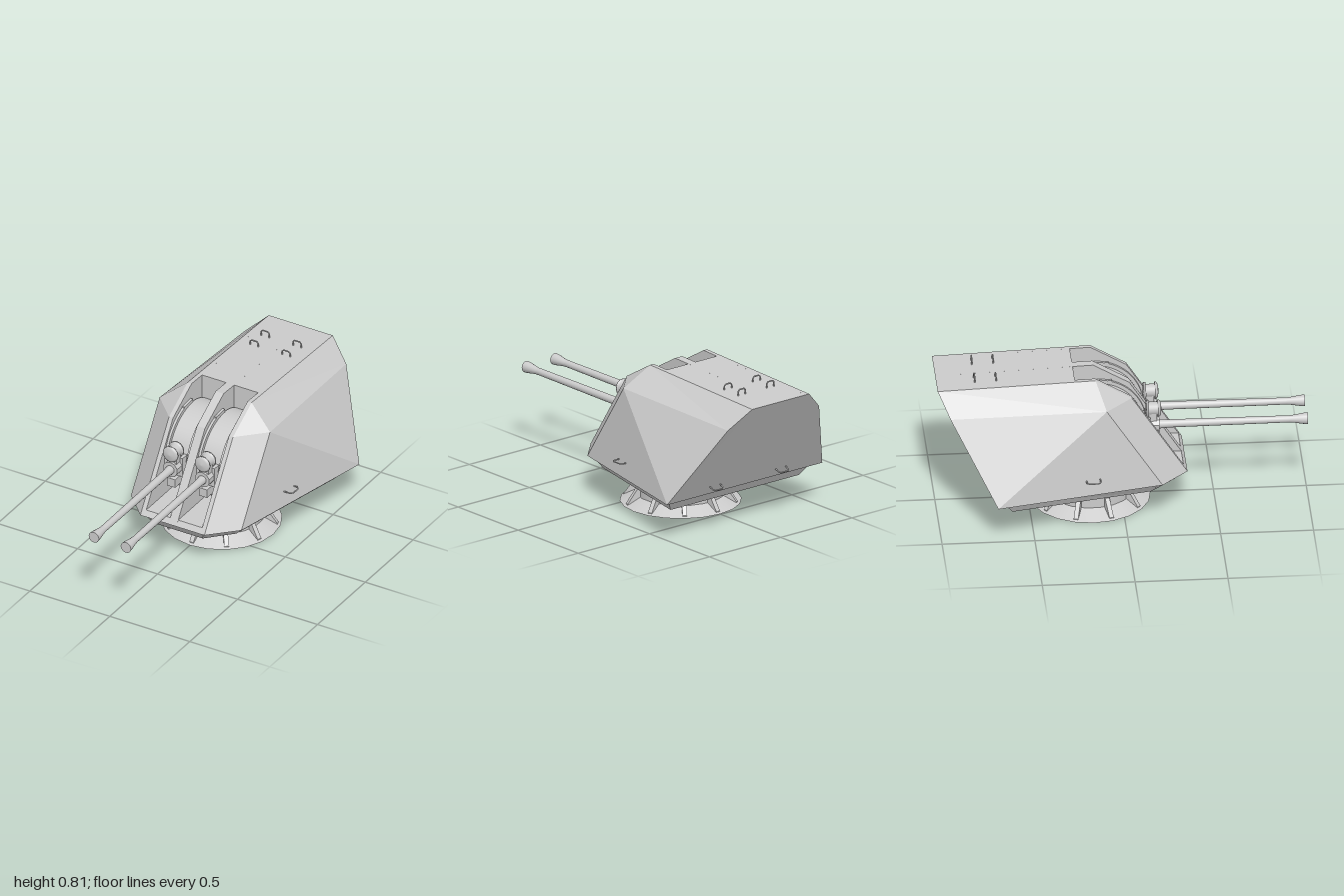
import * as THREE from 'three';

const mat = new THREE.MeshStandardMaterial({ color: 0xcccccc, side: THREE.DoubleSide });
const flatMat = new THREE.MeshStandardMaterial({ color: 0xcccccc, side: THREE.DoubleSide, flatShading: true });
const V = (x, y, z) => new THREE.Vector3(x, y, z);

function add(parent, name, geo, x = 0, y = 0, z = 0, material = mat) {
  const m = new THREE.Mesh(geo, material);
  m.name = name;
  m.position.set(x, y, z);
  parent.add(m);
  return m;
}

// Flat-faced geometry from convex polygons of Vector3
function faces(polys) {
  const pts = [];
  for (const p of polys)
    for (let i = 1; i < p.length - 1; i++) pts.push(p[0], p[i], p[i + 1]);
  const g = new THREE.BufferGeometry().setFromPoints(pts);
  g.computeVertexNormals();
  return g;
}

// Shape from (z, y) points
const outline = (points) => new THREE.Shape(points.map(([z, y]) => new THREE.Vector2(z, y)));

// Side-on shape in (z, y), extruded across x from x0 to x1
function slab(shape, x0, x1) {
  const g = new THREE.ExtrudeGeometry(shape, { depth: x1 - x0, bevelEnabled: false, curveSegments: 24 });
  return g.rotateY(-Math.PI / 2).translate(x1, 0, 0);
}

// Turned part along +z from (radius, z) points
function turned(profile, segments) {
  const pts = profile.map(([r, z]) => new THREE.Vector2(r, z));
  return new THREE.LatheGeometry(pts, segments).rotateX(Math.PI / 2);
}

// Small U-shaped grab handle
function handle(parent, pos, along, out, w = 0.05, h = 0.03) {
  const path = new THREE.CurvePath();
  const p = [V(-w / 2, -0.01, 0), V(-w / 2, h * 0.7, 0), V(-w / 2 + h * 0.3, h, 0),
    V(w / 2 - h * 0.3, h, 0), V(w / 2, h * 0.7, 0), V(w / 2, -0.01, 0)];
  for (let i = 0; i < 5; i++) path.add(new THREE.LineCurve3(p[i], p[i + 1]));
  const m = add(parent, 'grabHandle', new THREE.TubeGeometry(path, 30, 0.004, 6), ...pos.toArray());
  m.quaternion.setFromRotationMatrix(new THREE.Matrix4().makeBasis(along, out, along.clone().cross(out)));
}

function buildShield(root) {
  const shield = new THREE.Group();
  shield.name = 'shield';
  root.add(shield);

  // Faceted armour on both flanks
  for (const s of [1, -1]) {
    const P = (x, y, z) => V(s * x, y, z);
    const roof = P(0.2, 0.8, -0.15), brow = P(0.2, 0.686, 0.045), cheek = P(0.345, 0.686, -0.1);
    const toe = P(0.2, 0.225, 0.345), cheekLow = P(0.345, 0.225, 0.2), rearLow = P(0.545, 0.225, -0.7);
    const rearMid = P(0.32, 0.66, -0.94), rearTop = P(0.2, 0.77, -1), rearIn = P(0.2, 0.225, -0.7);
    const polys = [
      [brow, toe, cheekLow, cheek], [roof, brow, cheek], [cheek, cheekLow, rearLow],
      [cheek, rearLow, rearMid], [roof, cheek, rearMid, rearTop],
      [rearTop, rearMid, rearLow, rearIn], [toe, rearIn, rearLow, cheekLow],
    ];
    if (s < 0) polys.forEach((p) => p.reverse());
    add(shield, 'flankArmour', faces(polys), 0, 0, 0, flatMat);
  }

  // Centre section: full-height ribs with a gun slot on each side
  const full = outline([[0.345, 0.225], [-0.7, 0.225], [-1, 0.77], [-0.15, 0.8], [0.045, 0.686]]);
  const cut = outline([[0.345, 0.225], [-0.7, 0.225], [-1, 0.77], [-0.26, 0.796], [-0.26, 0.255], [0.325, 0.255]]);
  for (const [a, b] of [[-0.2, -0.175], [-0.025, 0.025], [0.175, 0.2]])
    add(shield, 'centreRib', slab(full, a, b));
  for (const [a, b] of [[-0.175, -0.025], [0.025, 0.175]])
    add(shield, 'gunSlot', slab(cut, a, b));

  // Tapered skirt beneath
  const ring = (half, y) => [...half.map(([x, z]) => V(x, y, z)), ...half.map(([x, z]) => V(-x, y, z)).reverse()];
  const top = ring([[0.185, 0.33], [0.32, 0.19], [0.5, -0.66]], 0.225);
  const low = ring([[0.15, 0.28], [0.28, 0.145], [0.45, -0.617]], 0.155);
  const walls = top.map((t, i) => [t, low[i], low[(i + 1) % 6], top[(i + 1) % 6]]);
  add(shield, 'skirt', faces([...walls, [...low].reverse()]), 0, 0, 0, flatMat);

  // Grab handles on roof, flanks and rear
  for (const s of [1, -1]) {
    for (const z of [-0.68, -0.795]) handle(shield, V(s * 0.1, 0.781, z), V(1, 0, 0), V(0, 1, 0));
    handle(shield, V(s * 0.417, 0.31, -0.178), V(0, 0, 1), V(s, 0, 0), 0.075, 0.042);
    handle(shield, V(s * 0.23, 0.275, -0.727), V(1, 0, 0), V(0, -0.48, -0.877), 0.07, 0.035);
  }
}

function buildGun(root, x) {
  const gun = new THREE.Group();
  gun.name = 'gun';
  gun.position.x = x;
  root.add(gun);

  // Rounded mantlet with raised curved rails at its edges
  const cy = 0.45, cz = -0.13;
  add(gun, 'mantlet', new THREE.CylinderGeometry(0.245, 0.245, 0.13, 48).rotateZ(Math.PI / 2), 0, cy, cz);
  const arc = new THREE.Shape();
  arc.absarc(cz, cy, 0.265, -0.6, 1.6, false);
  arc.absarc(cz, cy, 0.235, 1.6, -0.6, true);
  for (const s of [1, -1]) {
    add(gun, 'curvedRail', slab(arc, s * 0.067 - 0.007, s * 0.067 + 0.007));
    add(gun, 'railStop', new THREE.BoxGeometry(0.014, 0.02, 0.02), s * 0.067, 0.7, -0.06);
  }

  // Cradle and recoil housing
  add(gun, 'cradle', new THREE.BoxGeometry(0.094, 0.115, 0.11), 0, 0.467, 0.095);
  add(gun, 'recoilHousing', new THREE.BoxGeometry(0.05, 0.05, 0.12), 0, 0.38, 0.13);
  add(gun, 'sightBracket', new THREE.BoxGeometry(0.06, 0.07, 0.06), 0, 0.515, 0.155);

  // Barrel with collar and flared muzzle
  const y = 0.467;
  add(gun, 'collar', new THREE.CylinderGeometry(0.046, 0.046, 0.07, 10).rotateX(Math.PI / 2), 0, y, 0.165, flatMat);
  add(gun, 'barrel', turned([[0.026, 0.19], [0.022, 0.25], [0.019, 0.9]], 16), 0, y, 0);
  add(gun, 'muzzle', turned([[0.019, 0.9], [0.022, 0.93], [0.029, 0.97], [0.032, 1]], 16), 0, y, 0);
  add(gun, 'muzzleFace', new THREE.CircleGeometry(0.032, 16), 0, y, 1);

  // Drum sight above the barrel
  add(gun, 'sight', turned([[0, 0.13], [0.046, 0.13], [0.046, 0.143], [0.036, 0.144], [0.036, 0.19],
    [0.046, 0.191], [0.046, 0.2], [0.035, 0.208], [0, 0.213]], 24), 0, 0.563, 0);
}

function buildBase(root) {
  const base = new THREE.Group();
  base.name = 'pedestal';
  base.position.z = -0.167;
  root.add(base);
  add(base, 'ringWall', new THREE.CylinderGeometry(0.24, 0.24, 0.155, 40, 1, true), 0, 0.0775, 0);
  add(base, 'flange', new THREE.CylinderGeometry(0.24, 0.328, 0.045, 20, 1, true), 0, 0.0225, 0);
  // Ten gussets, one facing forward
  const profile = outline([[0.235, 0.002], [0.312, 0.002], [0.312, 0.012], [0.25, 0.1], [0.235, 0.1]]);
  const gusset = slab(profile, -0.0125, 0.0125);
  for (let i = 0; i < 10; i++)
    add(base, 'gusset', gusset).rotation.y = (i * Math.PI) / 5;
}

export function createModel() {
  const root = new THREE.Group();
  root.name = 'twinGunTurret';
  buildBase(root);
  buildShield(root);
  for (const x of [-0.1, 0.1]) buildGun(root, x);
  return root;
}
